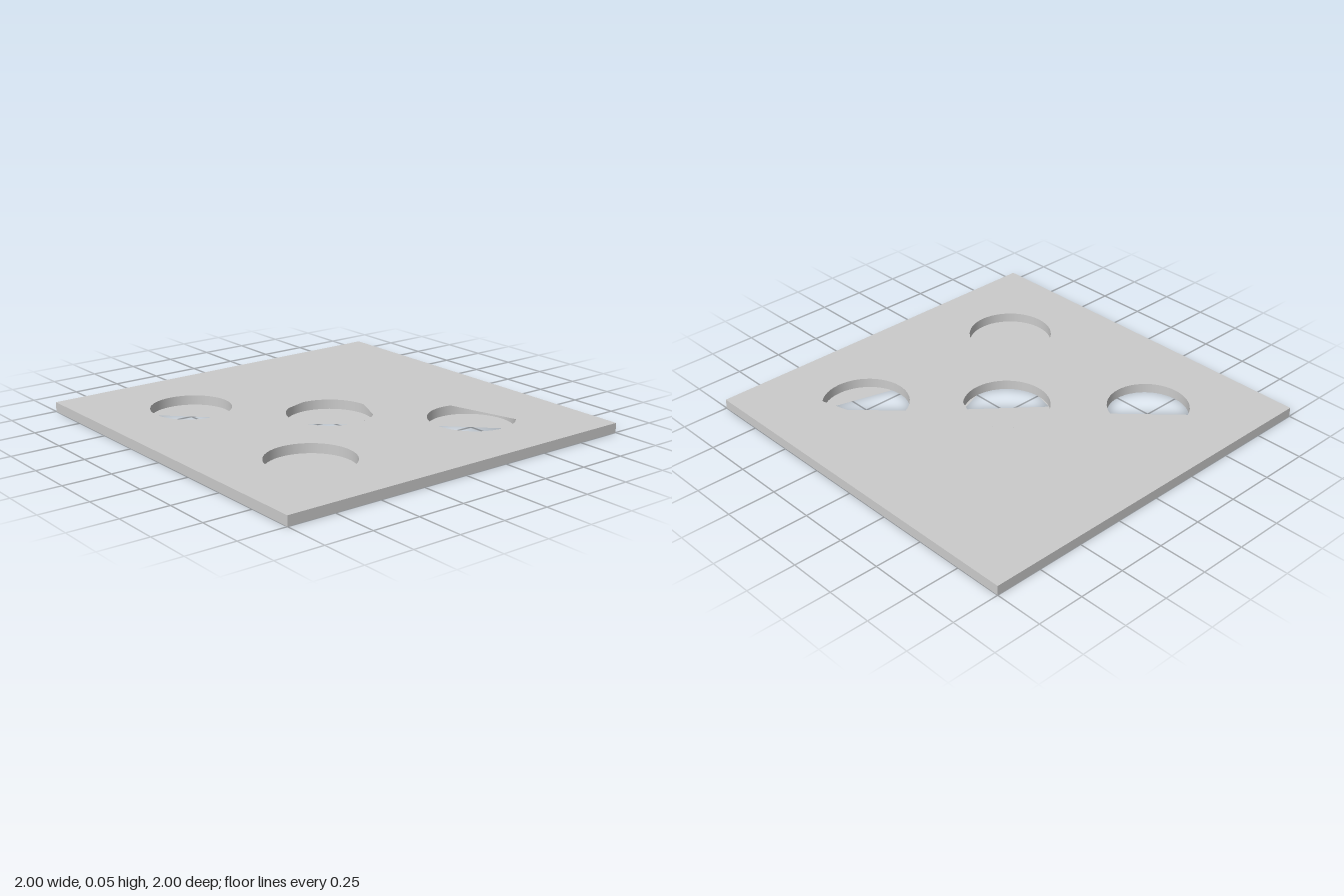
import * as THREE from 'three';

const THICKNESS = 0.05;

// Each hole: centre, radius, and the arcs (degrees, from +x towards +z) outlining
// its opening in the top and bottom skins; gaps between arcs are straight cuts.
const FULL = [[0, 352.5]];
const HOLES = [
  { x: 0.5, z: -0.5, r: 0.22, top: [[-45, 195]], bottom: [[-45, -45], [75, 135]] },
  { x: 0, z: 0, r: 0.22, top: [[-43, 146], [179, 270]], bottom: [[-40, -40], [0, 90], [120, 120]] },
  { x: -0.5, z: 0.5, r: 0.207, top: FULL, bottom: [[-45, 135]] },
  { x: 0.5, z: 0.5, r: 0.22, top: FULL, bottom: null },
];

function outline({ x, z, r }, arcs, zSign) {
  const points = [];
  for (const [from, to] of arcs) {
    const steps = Math.ceil((to - from) / 7.5);
    for (let i = 0; i <= steps; i++) {
      const a = THREE.MathUtils.degToRad(from + (steps ? (i / steps) * (to - from) : 0));
      points.push(new THREE.Vector2(x + r * Math.cos(a), zSign * (z + r * Math.sin(a))));
    }
  }
  return new THREE.Path(points);
}

// Square skin facing up or down, pierced by the given openings
function skin(key, up) {
  const zSign = up ? -1 : 1;
  const shape = new THREE.Shape([[-1, -1], [1, -1], [1, 1], [-1, 1]].map(p => new THREE.Vector2(...p)));
  for (const hole of HOLES) {
    if (hole[key]) shape.holes.push(outline(hole, hole[key], zSign));
  }
  const geometry = new THREE.ShapeGeometry(shape);
  geometry.rotateX(zSign * Math.PI / 2);
  return geometry.translate(0, up ? THICKNESS : 0, 0);
}

export function createModel() {
  const group = new THREE.Group();
  group.name = 'perforatedPlate';
  const material = new THREE.MeshStandardMaterial({ color: 0xcccccc, side: THREE.DoubleSide });
  const flat = new THREE.MeshStandardMaterial({ color: 0xcccccc, side: THREE.DoubleSide, flatShading: true });

  function add(name, geometry, mat = material) {
    const mesh = new THREE.Mesh(geometry, mat);
    mesh.name = name;
    group.add(mesh);
    return mesh;
  }

  // Top and bottom skins
  add('topFace', skin('top', true));
  add('bottomFace', skin('bottom', false));

  // Outer rim of the square plate
  const rim = new THREE.CylinderGeometry(Math.SQRT2, Math.SQRT2, THICKNESS, 4, 1, true);
  add('outerEdge', rim.rotateY(Math.PI / 4).translate(0, THICKNESS / 2, 0), flat);

  // Round walls inside the holes, facing inwards
  HOLES.forEach(({ x, z, r }, i) => {
    const wall = new THREE.CylinderGeometry(r, r, THICKNESS, 48, 1, true);
    wall.scale(-1, 1, 1);
    const normals = wall.attributes.normal;
    for (let n = 0; n < normals.count; n++) {
      normals.setXYZ(n, -normals.getX(n), 0, -normals.getZ(n));
    }
    add(`holeWall${i + 1}`, wall.translate(x, THICKNESS / 2, z));
  });

  return group;
}
